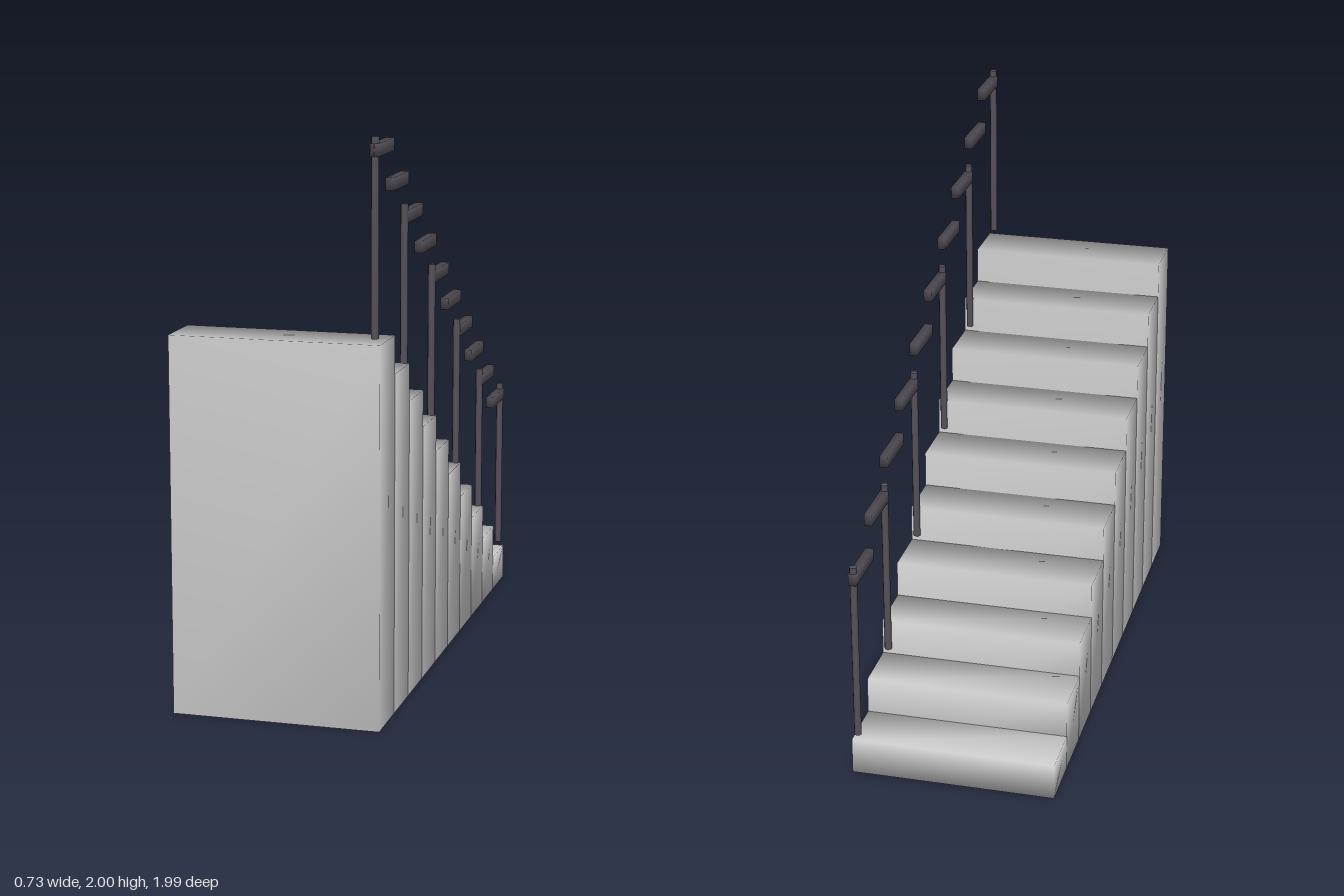
import * as THREE from 'three';
import { mergeVertices } from 'three/addons/utils/BufferGeometryUtils.js';

const STEPS = 10, RISE = 0.132, RUN = 0.198, WIDTH = 0.73;
const RAIL_X = 0.345;

// Box with shared corners, so its shading runs smoothly over the edges
function softBox(w, h, d) {
  const g = new THREE.BoxGeometry(w, h, d);
  g.deleteAttribute('normal');
  g.deleteAttribute('uv');
  const merged = mergeVertices(g);
  merged.computeVertexNormals();
  return merged;
}

export function createModel() {
  const group = new THREE.Group();
  const stone = new THREE.MeshStandardMaterial({ color: 0xcccccc });
  const metal = new THREE.MeshStandardMaterial({ color: 0x55525a });

  const add = (name, geometry, material, x, y, z) => {
    const mesh = new THREE.Mesh(geometry, material);
    mesh.name = name;
    mesh.position.set(x, y, z);
    group.add(mesh);
  };

  // Steps, lowest at the back, each with its own piece of handrail
  const railGeometry = softBox(0.029, 0.043, 0.204);
  for (let i = 0; i < STEPS; i++) {
    const height = RISE * (i + 1);
    const z = (i - (STEPS - 1) / 2) * RUN;
    add('step', softBox(WIDTH, height, RUN), stone, 0, height / 2, z);
    add('handrail', railGeometry, metal, RAIL_X, height + 0.636, z);
  }

  // Posts on every second step, plus one at the bottom end
  const postGeometry = new THREE.CylinderGeometry(0.0135, 0.0135, 0.66, 8);
  const posts = [[10, 0.98], [8, 0.596], [6, 0.2], [4, -0.197], [2, -0.594], [1, -0.978]];
  for (const [step, z] of posts) {
    add('post', postGeometry, metal, RAIL_X, step * RISE + 0.35, z);
  }
  return group;
}
